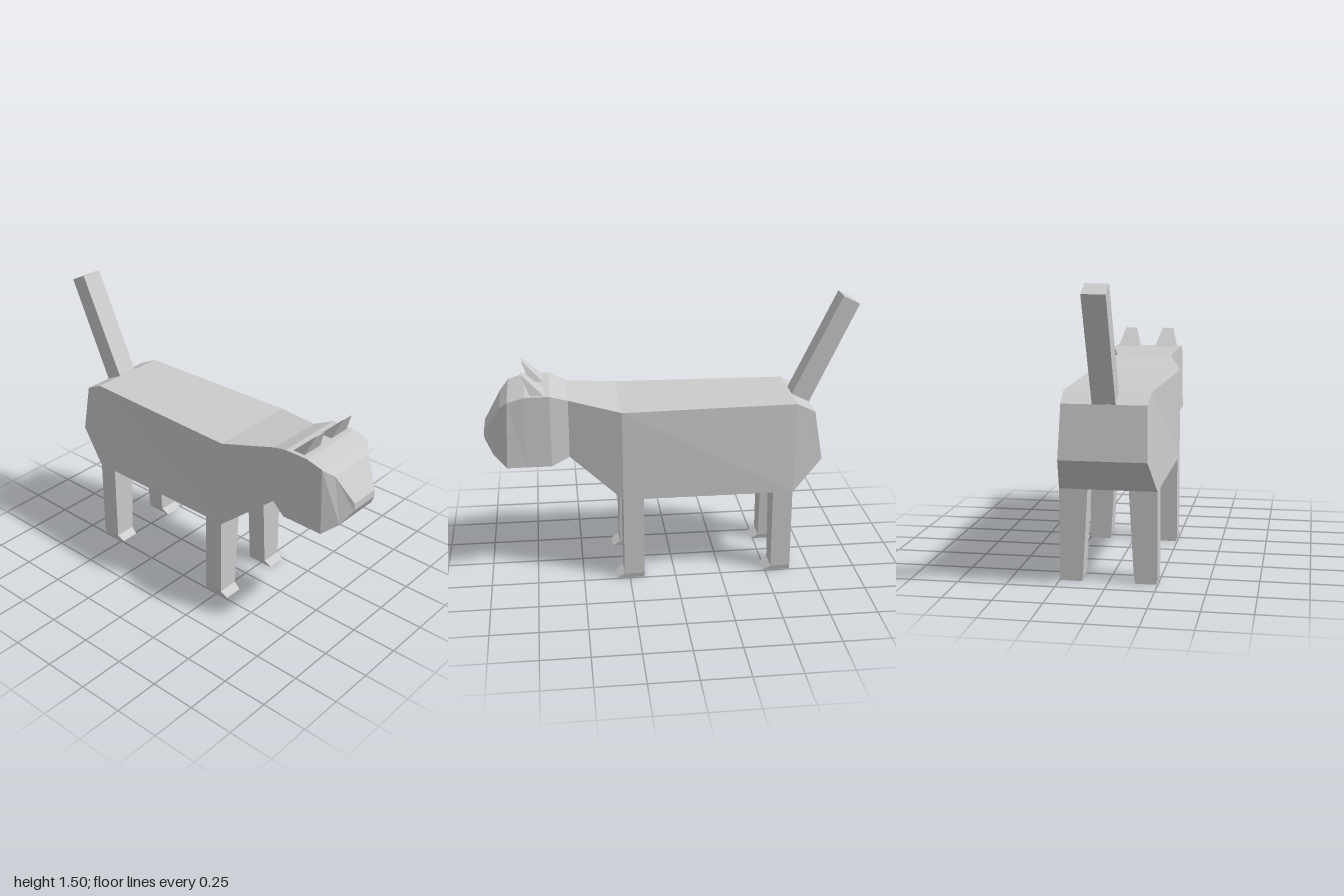
import * as THREE from 'three';

const material = new THREE.MeshStandardMaterial({ color: 0xcccccc, flatShading: true });

// Joins four-cornered rings into a faceted solid, with optional end caps.
function loft(name, rings, capStart = true, capEnd = true) {
  const pos = [];
  const quad = (a, b, c, d) => pos.push(...a, ...b, ...c, ...a, ...c, ...d);
  for (let i = 0; i < rings.length - 1; i++) {
    const r = rings[i], s = rings[i + 1];
    for (let j = 0; j < 4; j++) {
      const k = (j + 1) % 4;
      quad(r[j], r[k], s[k], s[j]);
    }
  }
  if (capStart) quad(...[...rings[0]].reverse());
  if (capEnd) quad(...rings[rings.length - 1]);
  const geometry = new THREE.BufferGeometry();
  geometry.setAttribute('position', new THREE.Float32BufferAttribute(pos, 3));
  geometry.computeVertexNormals();
  const mesh = new THREE.Mesh(geometry, material);
  mesh.name = name;
  return mesh;
}

// Upright section across the body: top edge, bottom edge and their half widths.
const section = (topX, topY, botX, botY, topW, botW = topW) => [
  [botX, botY, botW], [botX, botY, -botW], [topX, topY, -topW], [topX, topY, topW],
];

// Lying section for limbs: back (x, y), front (x, y) and a range in z.
const slab = (x0, y0, x1, y1, za, zb) => {
  const lo = Math.min(za, zb), hi = Math.max(za, zb);
  return [[x0, y0, hi], [x1, y1, hi], [x1, y1, lo], [x0, y0, lo]];
};

export function createModel() {
  const model = new THREE.Group();
  model.name = 'cat';

  // Torso, from rump to neck
  const neck = section(0.555, 1.017, 0.555, 0.7, 0.16);
  model.add(loft('torso', [
    section(-0.75, 0.92, -0.795, 0.65, 0.212, 0.22),
    section(-0.65, 0.97, -0.64, 0.475, 0.22, 0.248),
    section(0.28, 0.97, 0.28, 0.475, 0.248),
    neck,
  ], true, false));

  // Head with tapering muzzle
  model.add(loft('head', [
    neck,
    section(0.65, 1.055, 0.65, 0.665, 0.195),
    section(0.78, 1.055, 0.78, 0.665, 0.195),
    section(0.87, 1.027, 0.885, 0.665, 0.19, 0.195),
    section(0.912, 0.985, 0.955, 0.722, 0.14, 0.138),
    section(1.0, 0.84, 1.0, 0.8, 0.085),
  ], false, true));

  // Tail
  model.add(loft('tail', [
    slab(-0.74, 0.9, -0.645, 0.95, -0.058, 0.058),
    slab(-1.0, 1.46, -0.91, 1.505, -0.058, 0.058),
  ]));

  for (const [side, s] of [['left', -1], ['right', 1]]) {
    // Ears leaning forward to a thin upper edge
    model.add(loft(side + 'Ear', [
      slab(0.67, 1.045, 0.745, 1.045, s * 0.042, s * 0.175),
      slab(0.788, 1.16, 0.792, 1.16, s * 0.08, s * 0.145),
    ]));

    // Legs, flaring into a small toe at the ground
    for (const [end, x0, x1] of [['hind', -0.637, -0.53], ['front', 0.17, 0.28]]) {
      model.add(loft(end + (s < 0 ? 'Left' : 'Right') + 'Leg', [
        slab(x0, 0, x1 + 0.04, 0, s * 0.137, s * 0.242),
        slab(x0, 0.027, x1, 0.027, s * 0.13, s * 0.248),
        slab(x0, 0.476, x1, 0.476, s * 0.104, s * 0.248),
      ]));
    }
  }
  return model;
}
